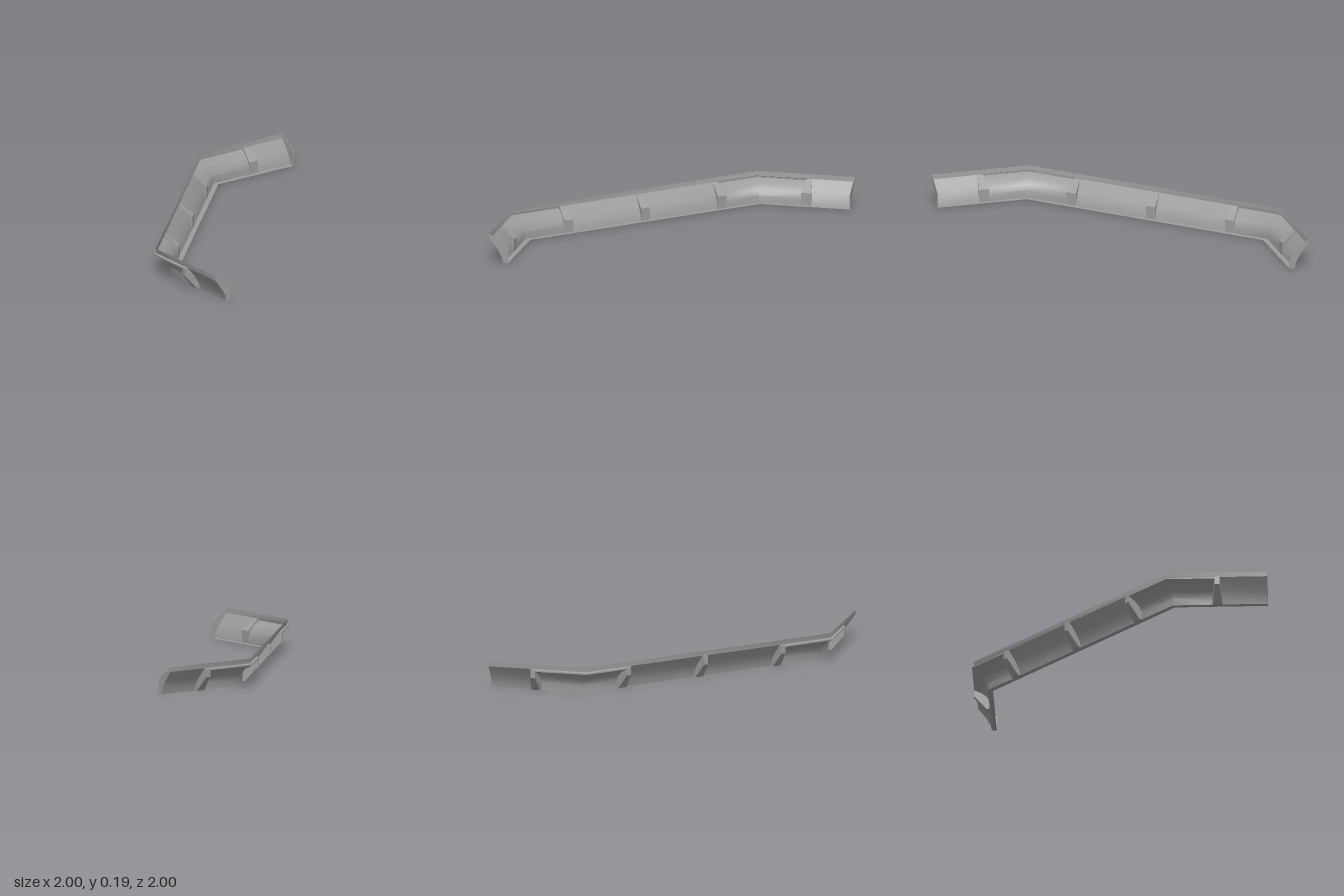
import * as THREE from 'three';
import { toCreasedNormals } from 'three/addons/utils/BufferGeometryUtils.js';

const mat = new THREE.MeshStandardMaterial({ color: 0x9c9c9c, side: THREE.DoubleSide });

// Plan: straight run at x = -u, diagonal run, straight run at z = u (u grows outward).
const shift = (u) => 0.67 - Math.SQRT2 * (1 - u);
const stations = {
  leftEnd: (u) => [-u, -1],
  leftRib: (u) => [-u, -0.695],
  leftCorner: (u) => [-u, shift(u) - u],
  diagonal: (sum) => (u) => [(sum - shift(u)) / 2, (sum + shift(u)) / 2],
  rightCorner: (u) => [u - shift(u), u],
  rightRib: (u) => [0.67, u],
  rightEnd: (u) => [1, u],
};

// Sweep a profile of [u, y] points through a list of plan stations.
function sweep(profile, path) {
  const pos = [], index = [], n = profile.length;
  for (const place of path) {
    for (const [u, y] of profile) {
      const [x, z] = place(u);
      pos.push(x, y, z);
    }
  }
  for (let i = 0; i < path.length - 1; i++) {
    for (let j = 0; j < n - 1; j++) {
      const a = i * n + j, b = a + n;
      index.push(a, b, a + 1, b, b + 1, a + 1);
    }
  }
  const geo = new THREE.BufferGeometry();
  geo.setAttribute('position', new THREE.Float32BufferAttribute(pos, 3));
  geo.setIndex(index);
  return toCreasedNormals(geo, 0.82);
}

// Flat plate cut to a [u - 1, y] outline; halfWidth gives its thickness at each depth.
function plateGeometry(outline, halfWidth) {
  const shape = new THREE.Shape(outline.map(([x, y]) => new THREE.Vector2(x, y)));
  const geo = new THREE.ExtrudeGeometry(shape, { depth: 2, bevelEnabled: false });
  geo.translate(0, 0, -1);
  const p = geo.attributes.position;
  for (let i = 0; i < p.count; i++) {
    p.setZ(i, p.getZ(i) * halfWidth(p.getX(i)));
  }
  geo.computeVertexNormals();
  return geo;
}

export function createModel() {
  const group = new THREE.Group();
  const add = (name, geo) => {
    const mesh = new THREE.Mesh(geo, mat);
    mesh.name = name;
    group.add(mesh);
    return mesh;
  };
  const s = stations;
  const whole = [s.leftEnd, s.leftCorner, s.rightCorner, s.rightEnd];
  const ribs = [-0.435, -0.018, 0.4];
  const first = s.diagonal(2 * ribs[0]), last = s.diagonal(2 * ribs[2]);

  // Continuous base flange and top lip
  add('baseFlange', sweep([[0.862, 0], [0.895, 0]], whole));
  add('topLip', sweep([[0.985, 0.158], [0.988, 0.19]], whole));

  // Flared panels leaning outward
  const panel = [[0.895, 0], [0.905, 0.04], [0.933, 0.09], [0.985, 0.158]];
  add('leftEndPanel', sweep(panel, [s.leftEnd, s.leftRib]));
  add('middlePanel', sweep(panel, [first, last]));
  add('rightEndPanel', sweep(panel, [s.rightRib, s.rightEnd]));

  // Corner panels: upright foot, standing slightly proud under the lip
  const corner = [[0.895, 0], [0.897, 0.05], [0.914, 0.085], [0.95, 0.118], [0.998, 0.143],
    [0.998, 0.152], [0.985, 0.158]];
  add('leftCornerPanel', sweep(corner, [s.leftRib, s.leftCorner, first]));
  add('rightCornerPanel', sweep(corner, [last, s.rightCorner, s.rightRib]));

  // Ribs, wide inside and narrow outside: one per straight run, three on the diagonal
  const rib = plateGeometry(
    [[-0.107, 0], [-0.085, 0], [0, 0.1], [0, 0.155], [-0.017, 0.158], [-0.107, 0.085]],
    (x) => 0.016 - x * 0.17);
  const places = [[-1, -0.695, Math.PI], [0.67, 1, -Math.PI / 2]];
  for (const t of ribs) places.push([t - 0.335, t + 0.335, -0.75 * Math.PI]);
  for (const [x, z, turn] of places) {
    const mesh = add('rib', rib);
    mesh.position.set(x, 0, z);
    mesh.rotation.y = turn;
  }

  // Thin plates closing both ends
  const plate = plateGeometry(
    [[-0.138, 0], [-0.105, 0], [-0.095, 0.04], [-0.067, 0.09], [-0.015, 0.158],
      [-0.012, 0.19], [-0.138, 0.1]],
    () => 0.002);
  for (const [name, x, z, turn] of [
    ['leftEndPlate', 0.998, 1, -Math.PI / 2],
    ['rightEndPlate', -1, -0.998, Math.PI],
  ]) {
    const mesh = add(name, plate);
    mesh.position.set(x, 0, z);
    mesh.rotation.y = turn;
  }
  return group;
}
